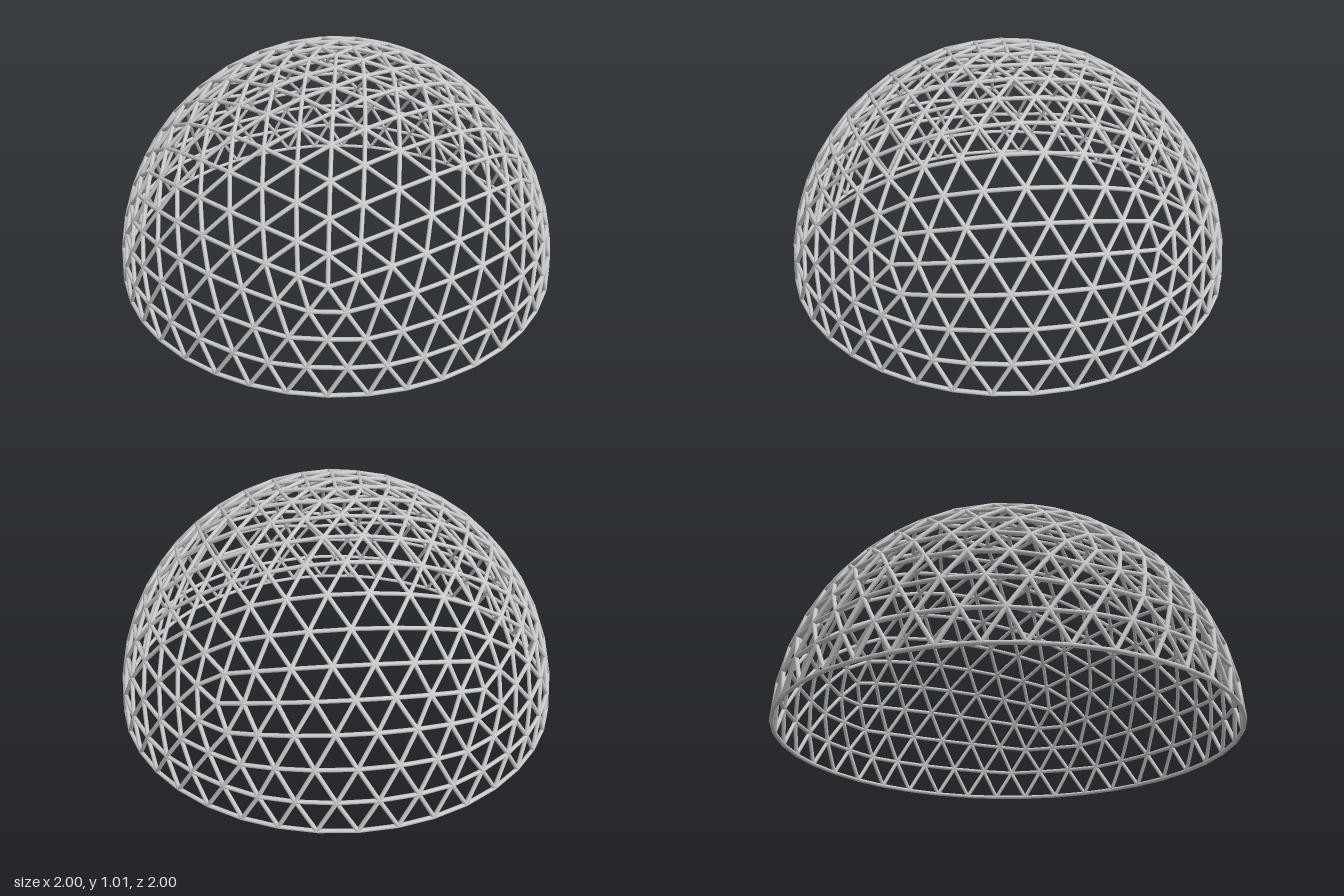
import * as THREE from 'three';
import { mergeGeometries } from 'three/addons/utils/BufferGeometryUtils.js';

const FREQ = 8;      // subdivisions of each icosahedron edge
const R = 0.991;     // radius to strut centre lines
const TUBE = 0.009;  // strut radius

// Corner of the icosahedron ring at a height and angle in degrees
function ringCorner(y, deg) {
  const a = THREE.MathUtils.degToRad(deg), r = Math.sqrt(1 - y * y);
  return new THREE.Vector3(r * Math.cos(a), y, r * Math.sin(a));
}

// Icosahedron faces that reach above the equator, one corner on the pole
function icosaFaces() {
  const h = 1 / Math.sqrt(5), pole = new THREE.Vector3(0, 1, 0), faces = [];
  for (let i = 0; i < 5; i++) {
    const a = i * 72;
    const u0 = ringCorner(h, a), u1 = ringCorner(h, a + 72);
    const l0 = ringCorner(-h, a + 36), l1 = ringCorner(-h, a - 36);
    faces.push([pole, u0, u1], [l0, u0, u1], [u0, l0, l1]);
  }
  return faces;
}

// Unique lattice edges of the upper hemisphere
function domeEdges() {
  const edges = new Map();
  const key = (p) => p.toArray().map((v) => Math.round(v * 1000) || 0).join();
  const addEdge = (p, q) => {
    if (p.y < -1e-6 || q.y < -1e-6) return;
    edges.set([key(p), key(q)].sort().join('|'), [p, q]);
  };
  for (const [a, b, c] of icosaFaces()) {
    // Point j of row i, pushed out to the sphere
    const at = (i, j) => new THREE.Vector3()
      .addScaledVector(a, FREQ - i)
      .addScaledVector(b, i - j)
      .addScaledVector(c, j)
      .setLength(R);
    for (let i = 0; i < FREQ; i++) {
      for (let j = 0; j <= i; j++) {
        const top = at(i, j), left = at(i + 1, j), right = at(i + 1, j + 1);
        addEdge(top, left);
        addEdge(top, right);
        addEdge(left, right);
      }
    }
  }
  return [...edges.values()];
}

// Round bar between two points
function strut(p, q) {
  const dir = q.clone().sub(p), len = dir.length();
  const g = new THREE.CylinderGeometry(TUBE, TUBE, len, 8);
  g.applyQuaternion(new THREE.Quaternion().setFromUnitVectors(
    new THREE.Vector3(0, 1, 0), dir.normalize()));
  const mid = p.clone().add(q).multiplyScalar(0.5);
  return g.translate(mid.x, mid.y + TUBE, mid.z);
}

export function createModel() {
  const group = new THREE.Group();
  group.name = 'geodesicDome';
  const material = new THREE.MeshStandardMaterial({ color: 0xcccccc });

  // Split the struts into the ground ring and the lattice above it
  const base = [], lattice = [];
  for (const [p, q] of domeEdges()) {
    (Math.max(p.y, q.y) < 1e-6 ? base : lattice).push(strut(p, q));
  }
  for (const [name, parts] of [['baseRing', base], ['latticeStruts', lattice]]) {
    const mesh = new THREE.Mesh(mergeGeometries(parts), material);
    mesh.name = name;
    group.add(mesh);
  }
  return group;
}
